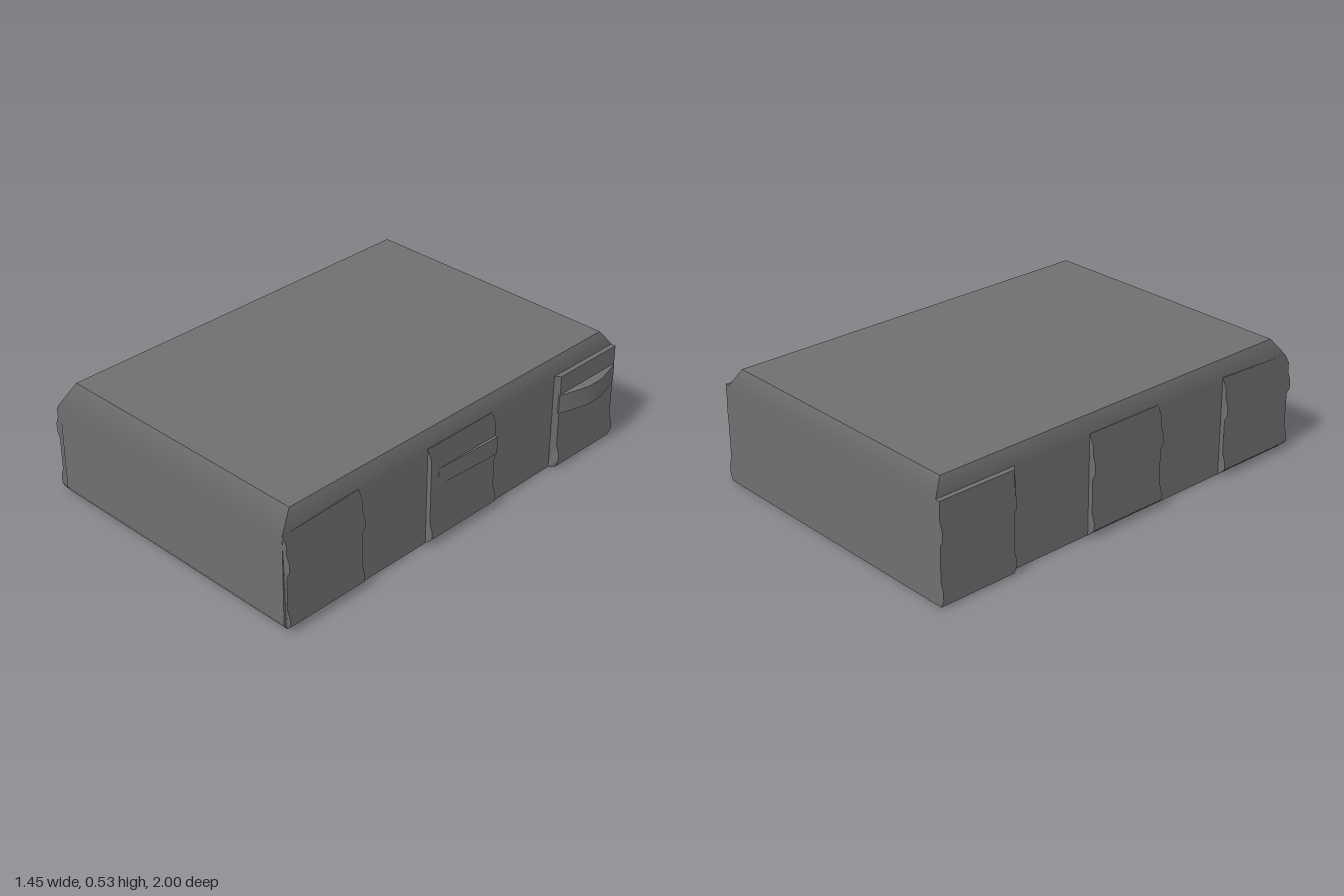
import * as THREE from 'three';
import { toCreasedNormals } from 'three/addons/utils/BufferGeometryUtils.js';

const CX = -0.0145, HALF = 0.6725; // body axis and half width
const material = new THREE.MeshStandardMaterial({ color: 0x6f6f6f });

function addMesh(group, name, geometry) {
  const mesh = new THREE.Mesh(geometry, material);
  mesh.name = name;
  group.add(mesh);
}

// Block with a bevelled top and a nicked lower front edge; walls shade softly into the bevel
function bodyGeometry() {
  const geo = new THREE.BoxGeometry(2, 3, 2, 1, 3, 1);
  const levels = [ // [y front, y back, half width, z front, z back]
    [0, 0, HALF, 0.985, -1],
    [0.025, 0.025, HALF, 1, -1],
    [0.445, 0.46, HALF, 1, -1],
    [0.53, 0.53, 0.64, 0.93, -0.95],
  ];
  const p = geo.attributes.position, n = geo.attributes.normal;
  for (let i = 0; i < p.count; i++) {
    const level = Math.round(p.getY(i) + 1.5);
    const [yf, yb, w, zf, zb] = levels[level];
    const front = p.getZ(i) > 0;
    p.setXYZ(i, CX + Math.sign(p.getX(i)) * w, front ? yf : yb, front ? zf : zb);
    if (level === 3 && n.getY(i) === 0) n.setY(i, 0.3);
  }
  geo.normalizeNormals();
  return geo;
}

// Raised side panel: wavy outline swept along z, softly shaded across its waves
function panelGeometry(side, z0, z1, { squareTop = false, rib = true, slant = 0 } = {}) {
  const outline = [[-0.005, 0]];
  outline.push(...(squareTop ? [[0.022, 0]] : [[0, 0], [0.024, 0.022]]));
  outline.push([0.0365, 0.035], [0.0365, 0.07], [0.022, 0.11]);
  if (rib) outline.push([0.022, 0.265], [0.0365, 0.295], [0.0365, 0.335], [0.022, 0.37]);
  outline.push(...(squareTop ? [[0.022, 0.46]] : [[0.022, 0.415], [0, 0.46]]), [-0.005, 0.46]);

  const shape = new THREE.Shape(outline.map(([d, y]) => new THREE.Vector2(CX + side * (HALF + d), y)));
  const geo = new THREE.ExtrudeGeometry(shape, { depth: z1 - z0, bevelEnabled: false });
  geo.translate(0, 0, z0);
  const p = geo.attributes.position;
  for (let i = 0; i < p.count; i++) {
    const raised = side * (p.getX(i) - CX) > HALF + 0.01;
    if (slant && raised && p.getZ(i) > z1 - 1e-4) p.setZ(i, z1 - slant);
    // Follow the body's nick and bevel at the very front
    if (p.getZ(i) > 0.999) {
      if (p.getY(i) < 0.01) p.setZ(i, 0.985);
      p.setY(i, Math.min(p.getY(i), 0.445));
    }
  }
  geo.computeVertexNormals();
  const n = geo.attributes.normal;
  for (let i = 0; i < n.count; i++) {
    if (side * n.getX(i) > 0.5 && Math.abs(n.getZ(i)) < 0.5) n.setXYZ(i, side, 0, 0);
  }
  return geo;
}

// Outline in x and z, raised from y0 to y1
function slab(points, y0, y1) {
  const shape = new THREE.Shape(points.map(([x, z]) => new THREE.Vector2(x, -z)));
  const geo = new THREE.ExtrudeGeometry(shape, { depth: y1 - y0, bevelEnabled: false });
  return toCreasedNormals(geo.rotateX(-Math.PI / 2).translate(0, y0, 0), Math.PI / 4);
}

export function createModel() {
  const model = new THREE.Group();
  model.name = 'beveledCase';
  addMesh(model, 'body', bodyGeometry());

  for (const [side, label] of [[1, 'left'], [-1, 'right']]) {
    addMesh(model, label + 'FrontPanel', panelGeometry(side, 0.59, 1));
    addMesh(model, label + 'MiddlePanel', panelGeometry(side, -0.2, 0.195, { rib: side < 0 }));
    addMesh(model, label + 'BackPanel',
      panelGeometry(side, -1, -0.6, { squareTop: true, rib: side < 0, slant: 0.025 }));
  }

  // Shallow wedge on the middle panel
  addMesh(model, 'catchWedge', slab([
    [0.66, 0.15], [0.681, 0.15], [0.693, -0.14], [0.693, -0.2], [0.66, -0.2],
  ], 0.275, 0.357));

  // Bowed lever on the back panel
  addMesh(model, 'lever', slab([
    [0.66, -0.62], [0.682, -0.62], [0.695, -0.655], [0.724, -0.765],
    [0.724, -0.855], [0.695, -0.965], [0.682, -1], [0.66, -1],
  ], 0.278, 0.37));

  return model;
}
